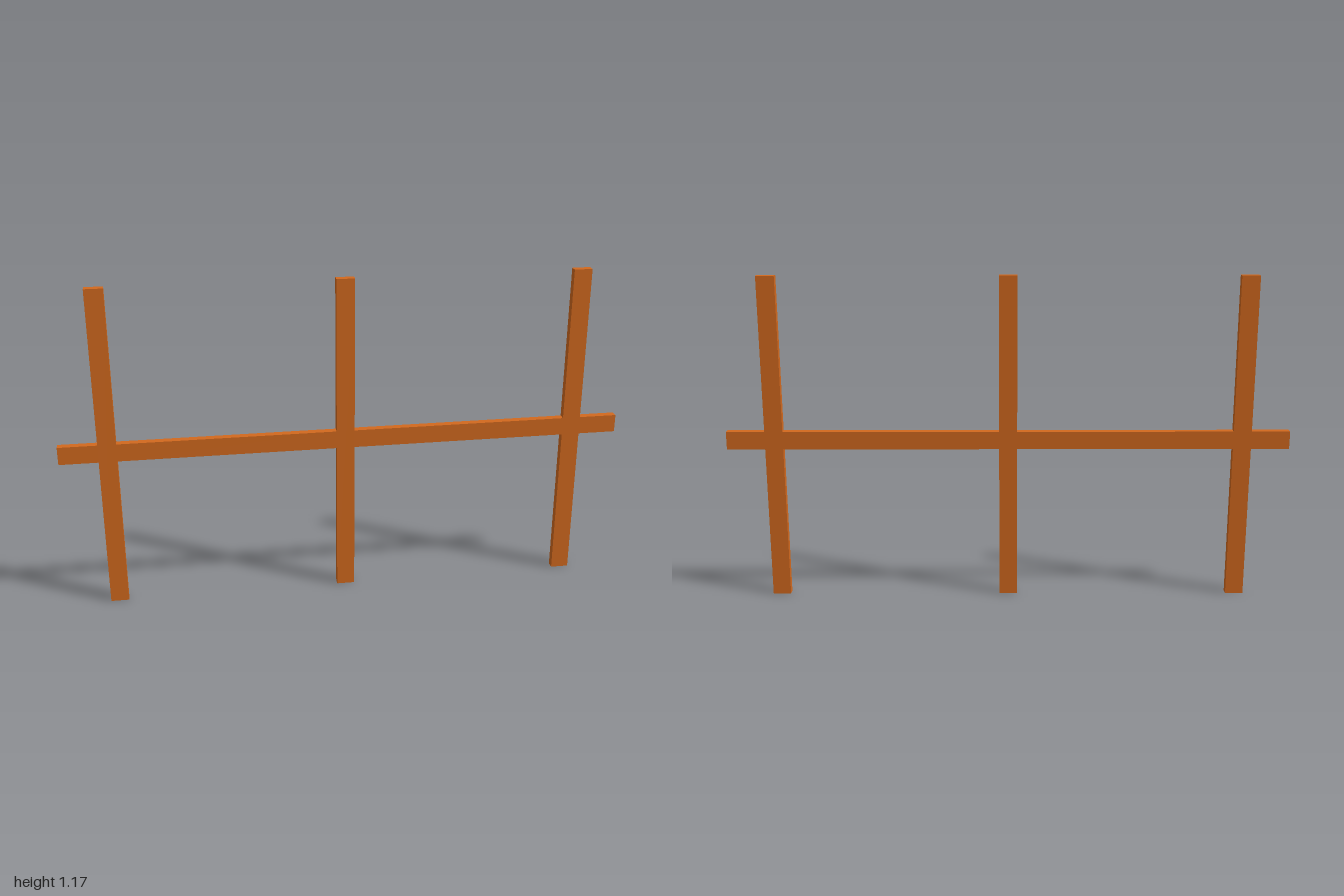
import * as THREE from 'three';

const HEIGHT = 1.168;
const WIDTH = 0.064; // face width of every board
const DEPTH = 0.027;
const POSTS = [-0.832, 0, 0.832];

export function createModel() {
  const model = new THREE.Group();
  model.name = 'fence';
  const wood = new THREE.MeshStandardMaterial({ color: 0xd2691e });

  const board = (name, parent, w, h, x, y) => {
    const mesh = new THREE.Mesh(new THREE.BoxGeometry(w, h, DEPTH), wood);
    mesh.name = name;
    mesh.position.set(x, y, 0);
    parent.add(mesh);
  };

  // Upright posts
  const names = ['rightPost', 'middlePost', 'leftPost'];
  POSTS.forEach((x, i) => board(names[i], model, WIDTH, HEIGHT, x, HEIGHT / 2));

  // Horizontal rail, flush with the posts and butted between them
  const rail = new THREE.Group();
  rail.name = 'rail';
  model.add(rail);
  const starts = [-1, ...POSTS.map((x) => x + WIDTH / 2)];
  const ends = [...POSTS.map((x) => x - WIDTH / 2), 1];
  starts.forEach((a, i) => {
    board('railSection' + (i + 1), rail, ends[i] - a, WIDTH, (a + ends[i]) / 2, HEIGHT / 2);
  });

  return model;
}
